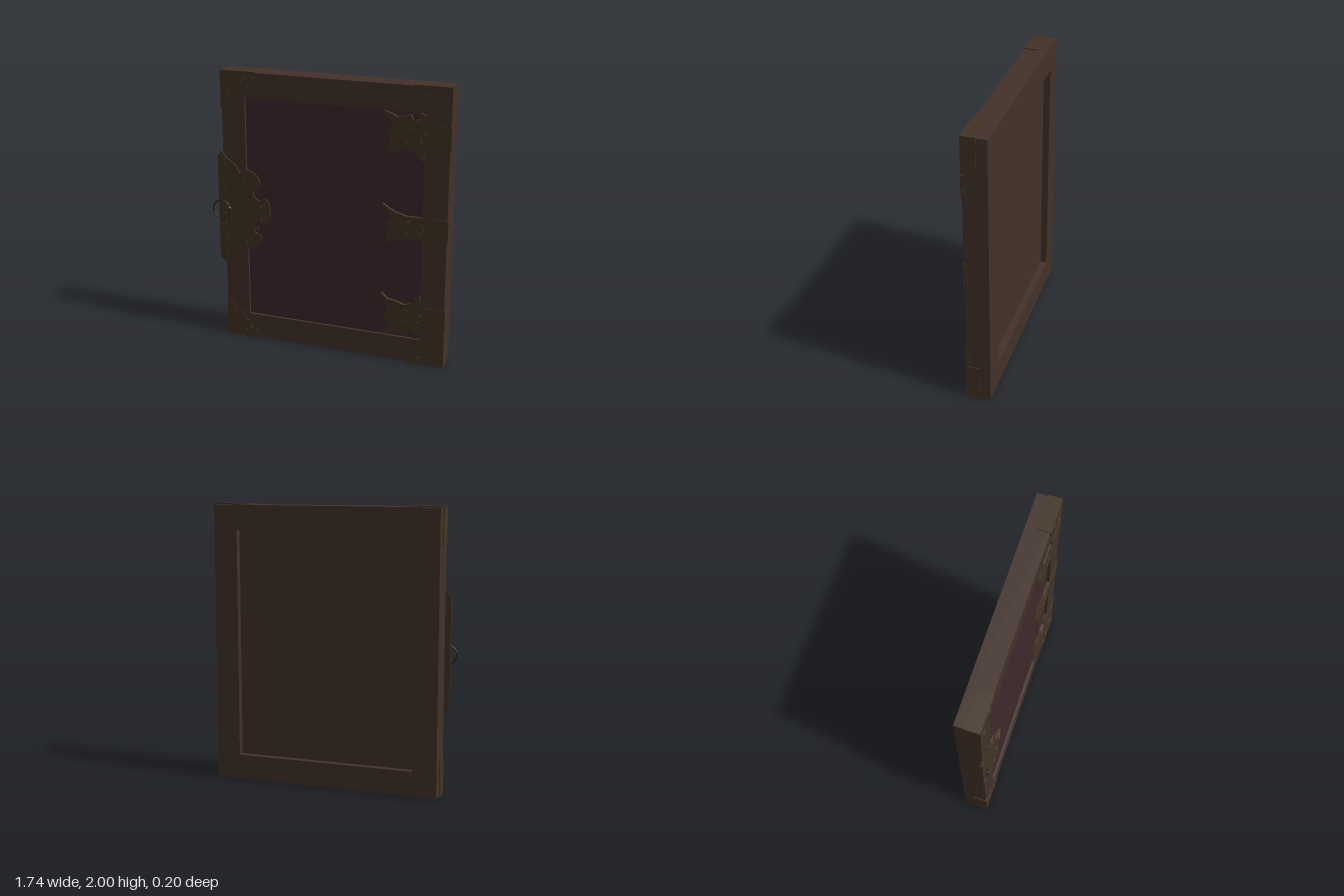
import * as THREE from 'three';

const mat = (name, color) => new THREE.MeshStandardMaterial({ name, color });

export function createModel() {
  const wood = mat('wood', 0x43322a);
  const metal = mat('agedMetal', 0x433325);
  const leather = mat('leatherPanel', 0x3e282b);
  const iron = mat('darkIron', 0x2e251e);
  const model = new THREE.Group();
  model.name = 'framedDoor';

  const add = (name, geo, material, x = 0, y = 0, z = 0, parent = model) => {
    const m = new THREE.Mesh(geo, material);
    m.name = name;
    m.position.set(x, y, z);
    parent.add(m);
    return m;
  };
  const box = (w, h, d) => new THREE.BoxGeometry(w, h, d);
  // flat plate cut from an outline, from z = back to z = front
  const plate = (points, back, front) => {
    const shape = new THREE.Shape(points.map(([x, y]) => new THREE.Vector2(x, y)));
    return new THREE.ExtrudeGeometry(shape, { depth: front - back, bevelEnabled: false }).translate(0, 0, back);
  };
  // smooth run of points through a few guide points
  const smooth = (points, n) => new THREE.SplineCurve(points.map(([x, y]) => new THREE.Vector2(x, y)))
    .getPoints(n).map((p) => [p.x, p.y]);
  // raised scroll engraved on a plate
  const scroll = (x, y, z, r, start, parent = model) => {
    const pts = [];
    for (let i = 0; i <= 14; i++) {
      const a = start + i * 0.36, k = r * (1 - i * 0.05);
      pts.push(new THREE.Vector3(x + k * Math.cos(a), y + k * Math.sin(a), z));
    }
    add('scroll', new THREE.TubeGeometry(new THREE.CatmullRomCurve3(pts), 28, 0.003, 5), metal, 0, 0, 0, parent);
  };

  // four mitred boards
  const outer = [[-0.785, 0.007], [0.862, 0.007], [0.862, 1.993], [-0.785, 1.993]];
  const inner = [[-0.61, 0.185], [0.69, 0.185], [0.69, 1.815], [-0.61, 1.815]];
  ['bottomRail', 'leftStile', 'topRail', 'rightStile'].forEach((name, i) => {
    const j = (i + 1) % 4;
    add(name, plate([outer[i], outer[j], inner[j], inner[i]], -0.103, 0.065), wood);
  });

  // recessed panel, covered in front and bare wood behind
  add('panelFront', box(1.3, 1.63, 0.04), leather, 0.04, 1, 0.025);
  add('panelBack', box(1.3, 1.63, 0.055), wood, 0.04, 1, -0.0275);

  // corner caps wrapping the edges
  const capEdge = smooth([[0.26, 0], [0.25, 0.06], [0.2, 0.075], [0.195, 0.12], [0.145, 0.145],
    [0.12, 0.195], [0.075, 0.2], [0.06, 0.25], [0, 0.26]], 40);
  for (const sx of [-1, 1]) for (const sy of [-1, 1]) {
    const cap = new THREE.Group();
    cap.name = 'cornerCap';
    const cx = sx < 0 ? -0.79 : 0.868, cy = sy < 0 ? 0 : 2;
    const pts = [[0, 0], ...capEdge].map(([x, y]) => [cx - sx * x, cy - sy * y]);
    add('capFace', plate(pts, 0.06, 0.07), metal, 0, 0, 0, cap);
    add('capSide', box(0.01, 0.26, 0.1), metal, cx - sx * 0.005, cy - sy * 0.13, 0.02, cap);
    add('capEnd', box(0.26, 0.01, 0.1), metal, cx - sx * 0.13, cy - sy * 0.005, 0.02, cap);
    scroll(cx - sx * 0.17, cy - sy * 0.06, 0.07, 0.026, sx < 0 ? 0 : 2, cap);
    scroll(cx - sx * 0.06, cy - sy * 0.17, 0.07, 0.026, sx < 0 ? 1 : 4, cap);
    model.add(cap);
  }

  // hinge straps with a flared, forked end
  const fork = [[0.405, 0.16], [0.45, 0.1], [0.475, 0.065], [0.42, 0.015], [0.455, -0.025], [0.405, -0.155]];
  const strap = [...fork, [0.45, -0.11], [0.5, -0.095], [0.58, -0.072], [0.69, -0.085],
    [0.868, -0.085], [0.868, 0.085], [0.69, 0.085], [0.58, 0.085], [0.5, 0.105], [0.45, 0.13]];
  // wider version whose lobe hangs toward the middle of the panel
  const wideStrap = [...fork, [0.45, -0.115], [0.51, -0.105], [0.57, -0.085], [0.62, -0.1], [0.65, -0.14],
    [0.685, -0.165], [0.69, -0.085], [0.868, -0.085], [0.868, 0.085], [0.69, 0.085], [0.69, 0.15],
    [0.655, 0.163], [0.65, 0.115], [0.61, 0.11], [0.59, 0.15], [0.5, 0.125], [0.45, 0.15]];
  [[0.35, -1, wideStrap], [1.005, 1, strap], [1.65, 1, wideStrap]].forEach(([y, s, outline]) => {
    const hinge = new THREE.Group();
    hinge.name = 'hinge';
    const pts = outline.map(([x, v]) => [x, y + s * v]);
    add('hingeStrap', plate(pts, 0.044, 0.07), metal, 0, 0, 0, hinge);
    add('hingeWrap', box(0.01, 0.17, 0.012), metal, 0.865, y, 0.065, hinge);
    const ring = add('hingeBoss', new THREE.TorusGeometry(0.035, 0.003, 6, 24), metal, 0.68, y, 0.07, hinge);
    ring.scale.x = 0.6;
    scroll(0.58, y + 0.035, 0.07, 0.022, 0, hinge);
    scroll(0.58, y - 0.035, 0.07, 0.022, 2.5, hinge);
    model.add(hinge);
  });

  // scalloped lock plate, mirrored about its middle
  const lobes = smooth([[-0.795, 0.42], [-0.75, 0.365], [-0.69, 0.32], [-0.655, 0.27], [-0.615, 0.292],
    [-0.56, 0.285], [-0.51, 0.235], [-0.503, 0.185], [-0.545, 0.165], [-0.555, 0.12], [-0.52, 0.08],
    [-0.46, 0.09], [-0.432, 0.045], [-0.43, 0]], 70);
  const half = [[-0.825, 0.33], [-0.81, 0.36], [-0.825, 0.385], ...lobes];
  const lockOutline = [...half, ...half.slice(0, -1).reverse().map(([x, y]) => [x, -y])];
  const lock = new THREE.Group();
  lock.name = 'lock';
  lock.position.y = 1;
  model.add(lock);
  add('lockPlate', plate(lockOutline, 0.064, 0.076), metal, 0, 0, 0, lock);
  add('lockBar', box(0.055, 0.78, 0.016), metal, -0.797, 0, 0.072, lock);
  for (const s of [-1, 1]) {
    scroll(-0.54, s * 0.14, 0.076, 0.028, s, lock);
    scroll(-0.6, s * 0.24, 0.076, 0.03, s + 1, lock);
    scroll(-0.48, s * 0.045, 0.076, 0.026, s + 2, lock);
  }

  // pull ring hanging from a knob
  add('pullRing', new THREE.TorusGeometry(0.066, 0.006, 8, 40), iron, -0.802, -0.015, 0.083, lock);
  add('ringKnob', new THREE.SphereGeometry(0.018, 16, 12), iron, -0.745, -0.005, 0.08, lock);
  return model;
}
